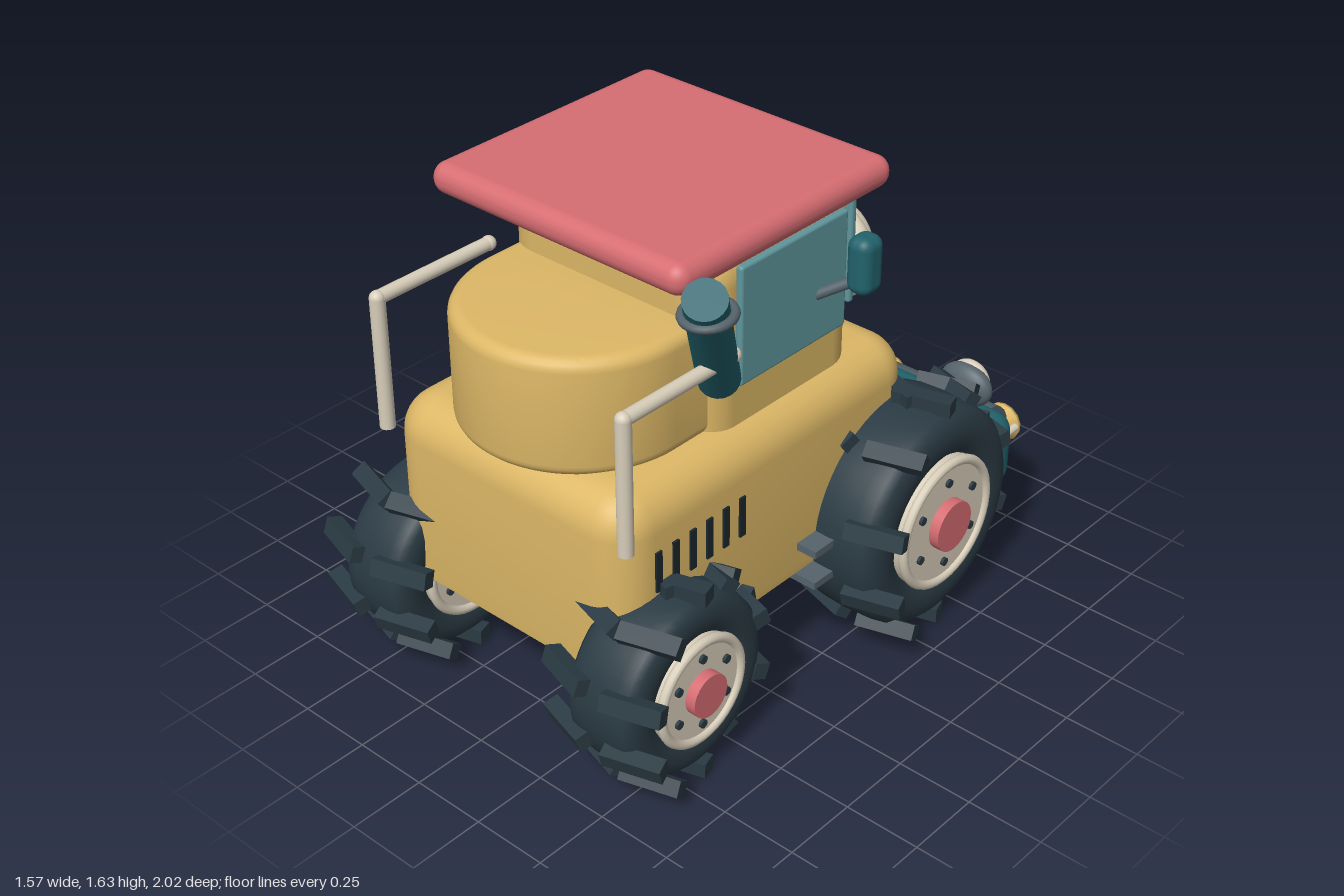
import * as THREE from 'three';
import { RoundedBoxGeometry } from 'three/addons/geometries/RoundedBoxGeometry.js';
import { toCreasedNormals } from 'three/addons/utils/BufferGeometryUtils.js';

const mat = (name, color) => {
  const m = new THREE.MeshStandardMaterial({ color });
  m.name = name;
  return m;
};

export function createModel() {
  const yellow = mat('yellow paint', 0xdcb766), red = mat('coral red', 0xd66d72), teal = mat('teal', 0x22626c);
  const glass = mat('window glass', 0x5f969c), cream = mat('cream', 0xd8ceba), rubber = mat('rubber', 0x2a3a43);
  const grey = mat('slate grey', 0x55636b), black = mat('black', 0x1b262d);
  const model = new THREE.Group();
  model.name = 'harvester';

  const add = (name, geo, material, x = 0, y = 0, z = 0, parent = model) => {
    const m = new THREE.Mesh(geo, material);
    m.name = name;
    m.position.set(x, y, z);
    parent.add(m);
    return m;
  };
  const box = (w, h, d) => new THREE.BoxGeometry(w, h, d);
  const rbox = (w, h, d, r) => new RoundedBoxGeometry(w, h, d, 5, r);
  const blob = (name, material, x, y, z, sx, sy, sz) => {
    const m = add(name, new THREE.SphereGeometry(1, 28, 18), material, x, y, z);
    m.scale.set(sx, sy, sz);
    return m;
  };
  // cylinder between two points
  const rod = (name, material, a, b, r) => {
    const p = new THREE.Vector3(...a), q = new THREE.Vector3(...b), d = q.clone().sub(p);
    const m = add(name, new THREE.CylinderGeometry(r, r, d.length(), 20), material);
    m.position.copy(p).add(q).multiplyScalar(0.5);
    m.quaternion.setFromUnitVectors(new THREE.Vector3(0, 1, 0), d.normalize());
    return m;
  };

  // body: rounded block with its underside cut flat
  const body = rbox(0.96, 0.71, 1.31, 0.13);
  body.translate(0, 0.615, 0.215);
  const bp = body.attributes.position;
  for (let i = 0; i < bp.count; i++) bp.setY(i, Math.max(bp.getY(i), 0.365));
  add('body', toCreasedNormals(body, 0.6), yellow);

  // cab and roof
  add('cab', rbox(0.8, 0.7, 0.69, 0.12), yellow, 0, 1.19, 0.095);
  add('roof', rbox(0.97, 0.1, 0.925, 0.048), red, 0, 1.58, 0.178);

  // rear tank with a half-round back
  const tank = new THREE.Shape();
  const tr = 0.33;
  tank.moveTo(-tr, -0.53);
  tank.lineTo(-tr, -0.35);
  tank.lineTo(tr, -0.35);
  tank.lineTo(tr, -0.53);
  tank.absarc(0, -0.53, tr, 0, -Math.PI, true);
  const tankGeo = new THREE.ExtrudeGeometry(tank, {
    depth: 0.3, bevelThickness: 0.04, bevelSize: 0.04, bevelSegments: 5, curveSegments: 32,
  });
  tankGeo.rotateX(-Math.PI / 2);
  add('rearTank', toCreasedNormals(tankGeo, 0.5), yellow, 0, 0.995, 0);

  // windows
  add('windscreen', rbox(0.72, 0.36, 0.026, 0.01), glass, 0, 1.285, -0.262);
  for (const s of [-1, 1]) {
    add('sideWindow', rbox(0.026, 0.385, 0.47, 0.01), glass, s * 0.413, 1.295, 0.085);

    // wing mirrors
    add('mirror', rbox(0.085, 0.185, 0.095, 0.035), teal, s * 0.53, 1.37, -0.095);
    rod('mirrorArm', grey, [s * 0.52, 1.32, -0.085], [s * 0.405, 1.25, -0.015], 0.017);

    // handrails
    rod('railPost', cream, [s * 0.482, 0.845, 0.86], [s * 0.482, 1.28, 0.86], 0.024);
    rod('railBar', cream, [s * 0.482, 1.28, 0.86], [s * 0.482, 1.28, 0.42], 0.022);
    for (const z of [0.86, 0.42]) blob('railEnd', cream, s * 0.482, 1.28, z, 0.024, 0.024, 0.024);

    // side vents and steps
    for (let i = 0; i < 6; i++)
      add('ventSlot', box(0.014, 0.135, 0.024), black, s * 0.48, 0.715, 0.375 + i * 0.071);
    for (const y of [0.465, 0.35]) add('step', box(0.11, 0.025, 0.09), grey, s * 0.497, y, 0.07);

    // eyes
    const ex = s * 0.205;
    blob('eyeRim', cream, ex, 1.21, -0.34, 0.17, 0.17, 0.065);
    blob('eyeball', cream, ex, 1.21, -0.385, 0.13, 0.14, 0.068);
    blob('pupil', black, ex * 0.93, 1.2, -0.441, 0.07, 0.085, 0.035);
    blob('eyeGlint', cream, ex * 1.05, 1.235, -0.47, 0.018, 0.02, 0.016);

    // lamps on the header
    blob('lampHousing', grey, s * 0.435, 0.6, -0.795, 0.098, 0.075, 0.045);
    blob('lampLens', cream, s * 0.435, 0.605, -0.815, 0.075, 0.075, 0.04);
  }

  // mouth
  blob('mouth', black, 0, 0.99, -0.36, 0.1, 0.06, 0.028);
  blob('tongue', red, 0, 0.965, -0.376, 0.06, 0.028, 0.022);

  // exhaust stack
  rod('exhaustPipe', teal, [0.4, 1.155, 0.385], [0.582, 1.59, 0.65], 0.063);
  const ring = add('exhaustRing', new THREE.TorusGeometry(0.072, 0.014, 10, 28), grey, 0.562, 1.525, 0.615);
  ring.rotation.x = Math.PI / 2 + 0.1;

  // header with roller and cutting teeth
  add('headerFrame', rbox(1.22, 0.27, 0.31, 0.07), teal, 0, 0.405, -0.7);
  rod('headerRoller', grey, [-0.52, 0.42, -0.81], [0.52, 0.42, -0.81], 0.112);
  const profile = [[0, -0.06], [0.022, -0.06], [0.035, -0.03], [0.068, 0.028], [0.066, 0.042], [0.035, 0.055], [0, 0.06]];
  for (let i = -2; i <= 2; i++) {
    const tooth = add('tooth',
      new THREE.LatheGeometry(profile.map(p => new THREE.Vector2(...p)), 14), yellow, i * 0.235, 0.385, -0.94);
    tooth.rotation.x = -Math.PI / 2;
    for (const s of [-1, 1])
      rod('toothPeg', cream, [i * 0.235 + s * 0.065, 0.4, -0.9], [i * 0.235 + s * 0.065, 0.4, -0.95], 0.014);
  }

  // wheels: hub axis along x, mirrored by s
  const wheel = (s, name, x, y, z, R, w, hubR, capR) => {
    const g = new THREE.Group();
    g.name = name;
    g.position.set(s * x, y, z);
    model.add(g);
    const h = w / 2;
    const half = [[hubR * 0.9, h * 0.72], [hubR * 1.08, h * 0.95], [R * 0.78, h], [R * 0.9, h * 0.93],
      [R * 0.965, h * 0.78], [R * 0.99, h * 0.5], [R, 0]];
    const pts = [...half.map(([r, a]) => [r, -a]), ...half.slice(0, -1).reverse()];
    const tyre = new THREE.LatheGeometry(pts.map(p => new THREE.Vector2(...p)), 48);
    add('tyre', tyre.rotateZ(Math.PI / 2), rubber, 0, 0, 0, g);
    const disc = (part, r, len, m, cx = 0, cy = 0, cz = 0, sides = 32) =>
      add(part, new THREE.CylinderGeometry(r, r, len, sides).rotateZ(Math.PI / 2), m, cx, cy, cz, g);
    disc('hub', hubR, w + 0.02, cream);
    disc('hubCap', capR, w + 0.09, red);
    for (const side of [-1, 1]) {
      const rim = new THREE.TorusGeometry(hubR * 0.96, 0.016, 10, 40).rotateY(Math.PI / 2);
      add('rim', rim, cream, side * (h + 0.008), 0, 0, g);
      for (let i = 0; i < 6; i++) {
        const a = i * Math.PI / 3;
        disc('bolt', 0.014, 0.02, rubber, side * (h + 0.01), Math.cos(a) * hubR * 0.67, Math.sin(a) * hubR * 0.67, 12);
      }
      // one ring of lugs per side, each ring skewed so the lugs form chevrons
      const lugs = new THREE.Group();
      lugs.name = 'treadLugs';
      lugs.rotation.y = side * 0.29;
      g.add(lugs);
      for (let i = 0; i < 10; i++) {
        const a = i * Math.PI / 5;
        const lug = add('lug', box(0.19, 0.05, 0.055), rubber,
          side * w * 0.17, Math.cos(a) * (R + 0.012), Math.sin(a) * (R + 0.012), lugs);
        lug.rotation.x = a;
      }
    }
  };
  for (const s of [-1, 1]) {
    wheel(s, 'largeWheel', 0.525, 0.417, -0.34, 0.375, 0.33, 0.22, 0.085);
    wheel(s, 'smallWheel', 0.472, 0.337, 0.695, 0.3, 0.26, 0.175, 0.07);
  }
  rod('rearAxle', teal, [-0.42, 0.315, 0.695], [0.42, 0.315, 0.695], 0.047);
  rod('frontAxle', teal, [-0.45, 0.417, -0.34], [0.45, 0.417, -0.34], 0.05);

  return model;
}
